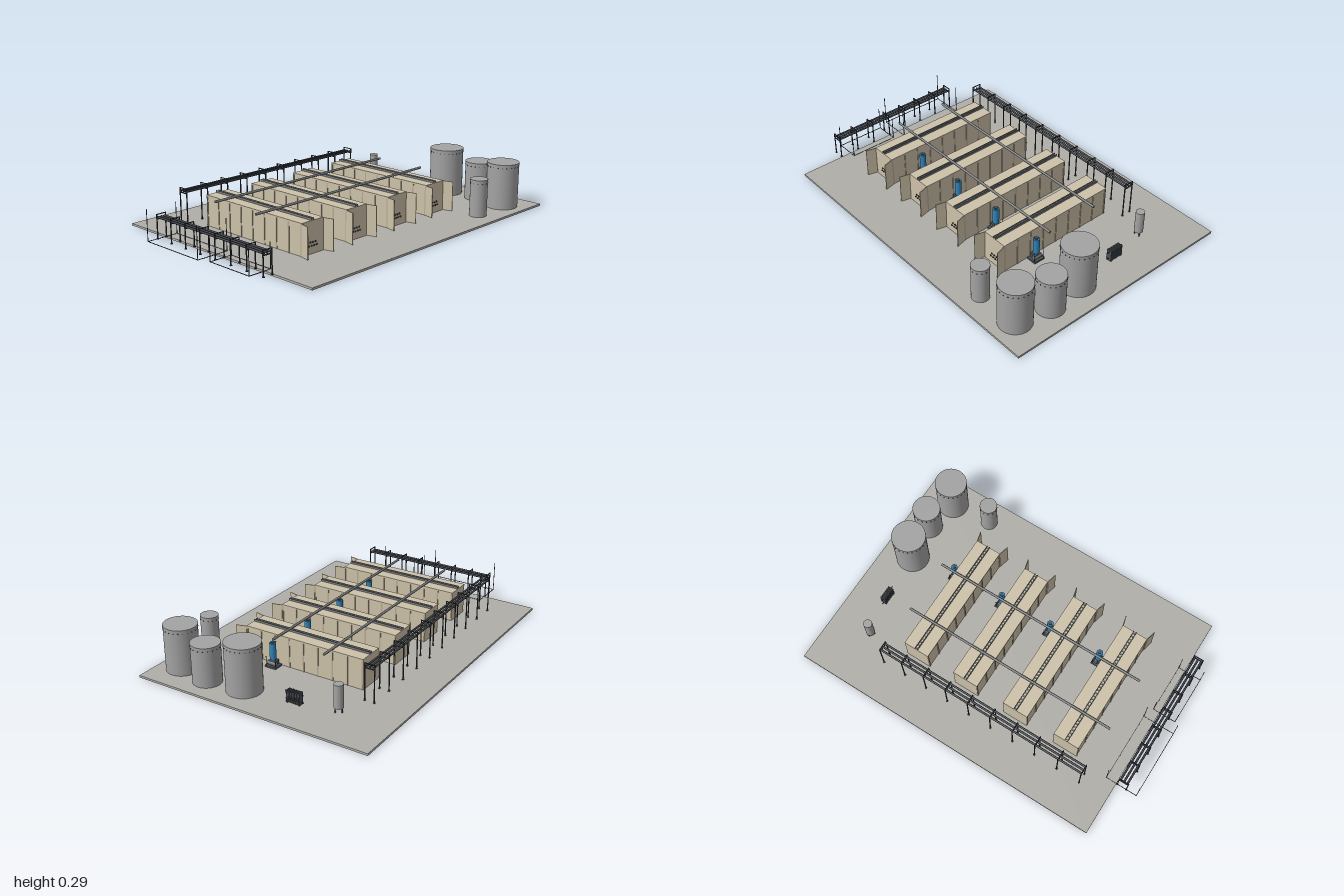
import * as THREE from 'three';

const mat = (color) => new THREE.MeshStandardMaterial({ color });
const M = {
  slab: mat(0xb0aea9), beige: mat(0xcdc2aa), rib: mat(0xb3a88f), steel: mat(0x3b3f45),
  pipe: mat(0x7c7e80), tank: mat(0xa3a3a3), blue: mat(0x2f86bd), dark: mat(0x4a5158),
};
const G = 0.012; // slab top

function add(parent, name, geo, material, x, y, z) {
  const m = new THREE.Mesh(geo, material);
  m.name = name;
  m.position.set(x, y, z);
  parent.add(m);
  return m;
}
// box from its min and max corners
function box(parent, name, material, x0, x1, y0, y1, z0, z1) {
  return add(parent, name, new THREE.BoxGeometry(x1 - x0, y1 - y0, z1 - z0), material,
    (x0 + x1) / 2, (y0 + y1) / 2, (z0 + z1) / 2);
}
function cyl(parent, name, material, r, y0, y1, x, z, seg = 32) {
  return add(parent, name, new THREE.CylinderGeometry(r, r, y1 - y0, seg), material, x, (y0 + y1) / 2, z);
}
// horizontal round bar along x or z
function bar(parent, name, material, r, axis, length, x, y, z) {
  const m = add(parent, name, new THREE.CylinderGeometry(r, r, length, 10), material, x, y, z);
  if (axis === 'x') m.rotation.z = Math.PI / 2;
  else m.rotation.x = Math.PI / 2;
  return m;
}
function group(parent, name, x = 0, y = 0, z = 0) {
  const g = new THREE.Group();
  g.name = name;
  g.position.set(x, y, z);
  parent.add(g);
  return g;
}

// Container with ribs, open end doors, ports and a roof tray; origin at its centre on the slab
function container(parent, z) {
  const c = group(parent, 'container', 0, G, z);
  const x0 = -0.37, x1 = 0.365, h = 0.173, w = 0.077;
  box(c, 'containerBody', M.beige, x0, x1, 0, h, -w + 0.003, w - 0.003);
  box(c, 'containerRoof', M.beige, x0, x1, h - 0.006, h + 0.002, -w, w);
  for (const s of [-1, 1]) {
    for (let i = 0; i <= 8; i++) {
      const x = x0 + 0.005 + i * (x1 - x0 - 0.01) / 8;
      box(c, 'sideRib', M.rib, x - 0.004, x + 0.004, 0, h - 0.006, s * (w - 0.002) - 0.002, s * (w - 0.002) + 0.002);
    }
    const hinge = group(c, 'endDoor', x1, 0, s * w);
    hinge.rotation.y = -s * 0.24;
    box(hinge, 'doorLeaf', M.beige, 0, 0.06, 0.002, h, -0.002, 0.002);
  }
  // ports in the end wall
  for (const [y, n] of [[0.062, 3], [0.043, 4]]) {
    for (let i = 0; i < n; i++) {
      bar(c, 'port', M.steel, 0.005, 'x', 0.008, x1, y, (i - (n - 1) / 2) * 0.018);
    }
  }
  // roof tray
  for (const s of [-1, 1]) box(c, 'trayRail', M.pipe, x0, x1, h + 0.002, h + 0.014, s * 0.008 - 0.0015, s * 0.008 + 0.0015);
  for (let i = 0; i < 36; i++) {
    const x = x0 + 0.01 + i * 0.0204;
    box(c, 'trayRung', M.pipe, x - 0.004, x + 0.004, h + 0.004, h + 0.008, -0.008, 0.008);
  }
}

// Pump skid with a blue vessel behind each container
function pumpSkid(parent, z) {
  const p = group(parent, 'pumpSkid', 0.17, G, z);
  box(p, 'skidBase', M.dark, -0.035, 0.035, 0, 0.01, -0.03, 0.03);
  bar(p, 'pumpBody', M.pipe, 0.013, 'x', 0.05, 0, 0.023, -0.008);
  box(p, 'pumpBlock', M.dark, -0.02, 0.02, 0.01, 0.035, -0.015, 0.025);
  cyl(p, 'vesselFoot', M.pipe, 0.012, 0.03, 0.045, 0, 0);
  cyl(p, 'blueVessel', M.blue, 0.018, 0.045, 0.138, 0, 0, 24);
  cyl(p, 'vesselCap', M.dark, 0.01, 0.138, 0.145, 0, 0, 16);
  for (const s of [-1, 1]) cyl(p, 'skidPost', M.steel, 0.002, 0.01, 0.06, s * 0.03, -0.022, 6);
}

// Row of portal frames carrying three pipes; runs along local x
function pipeRack(parent, name, length, width, height, frames) {
  const r = group(parent, name);
  const y = height - 0.018;
  for (let i = 0; i < frames; i++) {
    const x = -length / 2 + i * length / (frames - 1);
    for (const s of [-1, 1]) {
      const z = s * width / 2;
      box(r, 'rackPost', M.steel, x - 0.0025, x + 0.0025, G, height, z - 0.0025, z + 0.0025);
      box(r, 'postFoot', M.steel, x - 0.005, x + 0.005, G - 0.002, G + 0.003, z - 0.005, z + 0.005);
    }
    box(r, 'crossBeam', M.steel, x - 0.0025, x + 0.0025, y - 0.012, y - 0.007, -width / 2, width / 2);
    box(r, 'topBeam', M.steel, x - 0.0025, x + 0.0025, height - 0.004, height, -width / 2, width / 2);
  }
  for (const k of [-1, 0, 1]) bar(r, 'rackPipe', M.steel, 0.006, 'x', length, 0, y, k * width * 0.37);
  return r;
}

// Thin wire bay: ground outline with corner posts
function wireBay(parent, x0, x1, z0, z1, h) {
  const g = group(parent, 'wireBay');
  const t = 0.0015;
  for (const z of [z0, z1]) box(g, 'bayEdge', M.steel, x0, x1, G - t, G + t, z - t, z + t);
  for (const x of [x0, x1]) {
    box(g, 'bayEdge', M.steel, x - t, x + t, G - t, G + t, z0, z1);
    for (const z of [z0, z1]) box(g, 'bayPost', M.steel, x - t, x + t, G, h, z - t, z + t);
  }
}

function tank(parent, x, z, r, h) {
  const t = group(parent, 'tank', x, 0, z);
  cyl(t, 'tankShell', M.tank, r - 0.001, G, h - 0.002, 0, 0, 48);
  cyl(t, 'tankRim', M.tank, r, h - 0.012, h, 0, 0, 48);
  const n = Math.round(r * 240);
  for (let i = 0; i < n; i++) {
    const a = i / n * Math.PI * 2;
    const b = add(t, 'rimBolt', new THREE.BoxGeometry(0.005, 0.004, 0.003), M.dark, Math.sin(a) * r, h - 0.02, Math.cos(a) * r);
    b.rotation.y = a;
  }
}

export function createModel() {
  const model = new THREE.Group();
  model.name = 'processPlant';
  box(model, 'slab', M.slab, -0.7, 0.7, 0, G, -1, 0.873);

  for (let i = 0; i < 4; i++) {
    const z = -0.434 + i * 0.323;
    container(model, z);
    pumpSkid(model, z - 0.108);
    for (const x of [-0.19, 0.127]) cyl(model, 'pipeDrop', M.pipe, 0.004, 0.18, 0.2, x, z, 10);
  }

  // header pipes across the containers
  for (const x of [-0.19, 0.127]) bar(model, 'headerPipe', M.pipe, 0.007, 'z', 1.295, x, 0.203, 0.053);

  // side and front pipe racks
  const side = pipeRack(model, 'sidePipeRack', 1.29, 0.056, 0.225, 10);
  side.position.set(-0.459, 0, 0.053);
  side.rotation.y = Math.PI / 2;
  const front = pipeRack(model, 'frontPipeRack', 0.82, 0.056, 0.147, 8);
  front.position.set(0.027, 0, 0.907);

  wireBay(model, -0.383, 0.026, 0.81, 0.998, 0.187);
  wireBay(model, 0.09, 0.378, 0.835, 0.972, 0.15);

  tank(model, 0.143, -0.825, 0.098, 0.288);
  tank(model, 0.36, -0.855, 0.08, 0.238);
  tank(model, 0.558, -0.815, 0.092, 0.275);
  tank(model, 0.572, -0.568, 0.05, 0.224);

  // small vessel on legs
  const v = group(model, 'smallVessel', -0.383, 0, -0.755);
  cyl(v, 'vesselShell', M.tank, 0.025, 0.037, 0.168, 0, 0, 32);
  for (let i = 0; i < 3; i++) {
    const a = i * Math.PI * 2 / 3 + 0.5;
    cyl(v, 'vesselLeg', M.steel, 0.003, G, 0.045, Math.sin(a) * 0.02, Math.cos(a) * 0.02, 8);
  }

  // plate heat exchanger
  const e = group(model, 'heatExchanger', -0.15, G, -0.8);
  for (let i = 0; i < 11; i++) {
    const x = -0.038 + i * 0.0076;
    const thick = i % 10 === 0 ? 0.003 : 0.002;
    box(e, 'exchangerPlate', M.dark, x - thick, x + thick, 0.004, 0.068, -0.016, 0.016);
  }
  box(e, 'exchangerCore', M.steel, -0.038, 0.038, 0.008, 0.062, -0.013, 0.013);
  for (const y of [0.015, 0.056]) bar(e, 'tieRod', M.steel, 0.0025, 'x', 0.11, 0, y, 0);
  for (const x of [-0.036, 0.036]) box(e, 'exchangerFoot', M.steel, x - 0.004, x + 0.004, 0, 0.006, -0.016, 0.016);

  return model;
}
